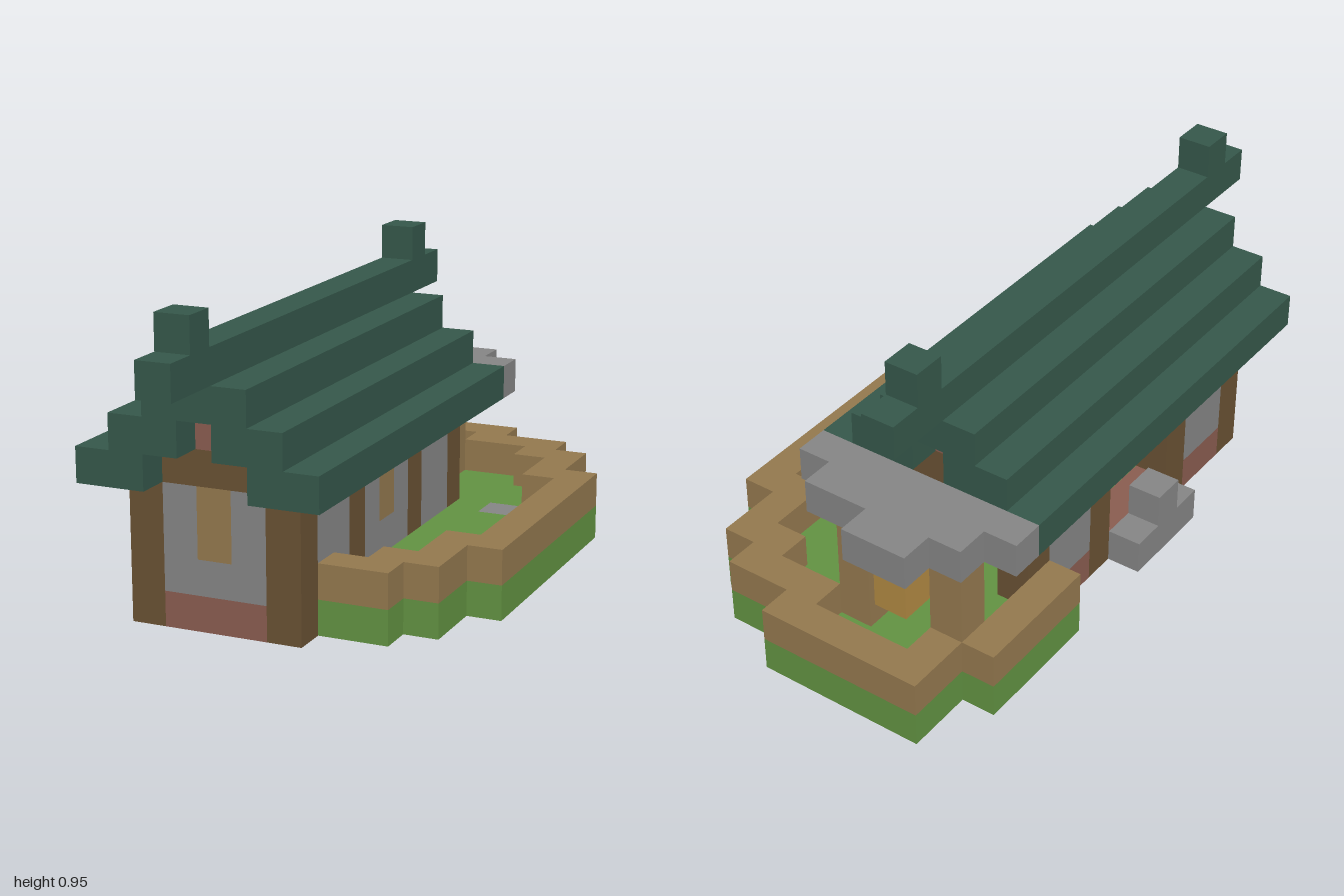
import * as THREE from 'three';
import { mergeGeometries } from 'three/addons/utils/BufferGeometryUtils.js';

const U = 2 / 19; // block size; the grid is 10 wide, 9 high, 19 deep

const colours = {
  roofGreen: 0x35574a, darkWood: 0x695133, plank: 0x93784e, stone: 0x858585,
  grass: 0x629242, brick: 0x895c50, lanternGold: 0xb08842,
};

// One square facing each of the six directions
const faces = [
  [0, 0, 1, 0, 0], [0, 0, -1, 0, Math.PI],
  [1, 0, 0, 0, Math.PI / 2], [-1, 0, 0, 0, -Math.PI / 2],
  [0, 1, 0, -Math.PI / 2, 0], [0, -1, 0, Math.PI / 2, 0],
];

export function createModel() {
  const group = new THREE.Group();
  const mats = {};
  for (const [name, color] of Object.entries(colours)) {
    mats[name] = new THREE.MeshStandardMaterial({ color });
    mats[name].name = name;
  }

  const cells = new Map(); // "x,y,z" -> part name
  const parts = {};        // part name -> material name
  // Fill blocks from (x0,y0,z0) to (x1,y1,z1) inclusive; later parts replace earlier ones
  const fill = (part, mat, ...boxes) => {
    parts[part] = mat;
    for (const [x0, x1, y0, y1, z0, z1] of boxes)
      for (let x = x0; x <= x1; x++)
        for (let y = y0; y <= y1; y++)
          for (let z = z0; z <= z1; z++) cells.set([x, y, z].join(), part);
  };
  const clear = (x0, x1, y0, y1, z0, z1) => {
    for (let x = x0; x <= x1; x++)
      for (let y = y0; y <= y1; y++)
        for (let z = z0; z <= z1; z++) cells.delete([x, y, z].join());
  };

  // Garden ground: rows of x range and z range
  fill('lawn', 'grass', ...[
    [1, 5, 0, 0], [1, 7, 1, 1], [0, 8, 2, 3], [0, 9, 4, 4], [0, 0, 5, 5], [2, 4, 5, 12],
    [6, 9, 5, 11], [6, 8, 12, 13], [6, 7, 14, 14],
  ].map(([a, b, c, d]) => [a, b, 0, 0, c, d]));
  fill('steppingStones', 'stone',
    ...[[7, 5], [7, 10], [3, 7], [4, 2]].map(([x, z]) => [x, x, 0, 0, z, z]));

  // Low plank border around the garden
  fill('gardenBorder', 'plank', ...[
    [1, 5, 0, 0], [1, 1, 1, 1], [5, 7, 1, 1], [0, 0, 2, 5], [7, 8, 2, 2], [8, 8, 3, 3],
    [8, 9, 4, 4], [9, 9, 5, 10], [8, 9, 11, 11], [8, 8, 12, 12], [7, 8, 13, 13], [6, 7, 14, 14],
  ].map(([a, b, c, d]) => [a, b, 1, 1, c, d]));

  // House base and walls
  fill('houseBase', 'brick', [1, 1, 0, 0, 5, 15], [5, 5, 0, 0, 5, 15], [2, 4, 0, 0, 13, 15]);
  fill('floorBeam', 'darkWood', [2, 4, 0, 0, 14, 14]);
  fill('walls', 'stone', [1, 1, 1, 3, 5, 15], [5, 5, 1, 3, 5, 15], [2, 4, 1, 3, 15, 15]);
  clear(1, 1, 1, 3, 9, 11); // side opening
  fill('windows', 'plank', [3, 3, 2, 3, 15, 15], [5, 5, 2, 3, 10, 10]);
  for (const x of [1, 5])
    fill('wallPosts', 'darkWood', ...[5, 8, 12, 15].map((z) => [x, x, 0, 3, z, z]));
  fill('indoorCounter', 'plank', [2, 4, 1, 1, 12, 12]);

  // Gable ends
  for (const z of [5, 15]) {
    fill('gableBeams', 'darkWood', [2, 4, 4, 4, z, z]);
    fill('gables', 'brick', [3, 3, 5, 5, z, z]);
  }

  // Stepped roof, mirrored about the ridge
  for (const [y, x] of [[4, 0], [5, 1], [6, 2]])
    fill('roof', 'roofGreen', [x, x + 1, y, y, 4, 16], [5 - x, 6 - x, y, y, 4, 16]);
  fill('roofRidge', 'roofGreen', [3, 3, 7, 7, 2, 18]);
  fill('ridgeEnds', 'roofGreen', [3, 3, 8, 8, 3, 3], [3, 3, 8, 8, 17, 17]);

  // Back porch
  fill('porchCanopy', 'stone', [0, 6, 4, 4, 3, 3], [1, 5, 4, 4, 2, 2], [2, 3, 4, 4, 1, 1]);
  fill('porchPosts', 'plank', [1, 1, 1, 3, 2, 2], [4, 4, 1, 3, 2, 2]);
  fill('lantern', 'lanternGold', [2, 2, 3, 3, 1, 1]);

  // Stone steps by the side opening
  fill('sideSteps', 'stone', [0, 0, 0, 0, 9, 11], [0, 0, 1, 1, 10, 10]);

  // Turn the exposed block faces of each part into one mesh
  const quads = {};
  for (const [key, part] of cells) {
    const [x, y, z] = key.split(',').map(Number);
    for (const [dx, dy, dz, rx, ry] of faces) {
      if (cells.has([x + dx, y + dy, z + dz].join())) continue;
      const g = new THREE.PlaneGeometry(U, U).rotateX(rx).rotateY(ry);
      g.translate((x - 4.5 + dx / 2) * U, (y + 0.5 + dy / 2) * U, (z - 9 + dz / 2) * U);
      (quads[part] ??= []).push(g);
    }
  }
  for (const [part, list] of Object.entries(quads)) {
    const mesh = new THREE.Mesh(mergeGeometries(list), mats[parts[part]]);
    mesh.name = part;
    group.add(mesh);
  }
  return group;
}
